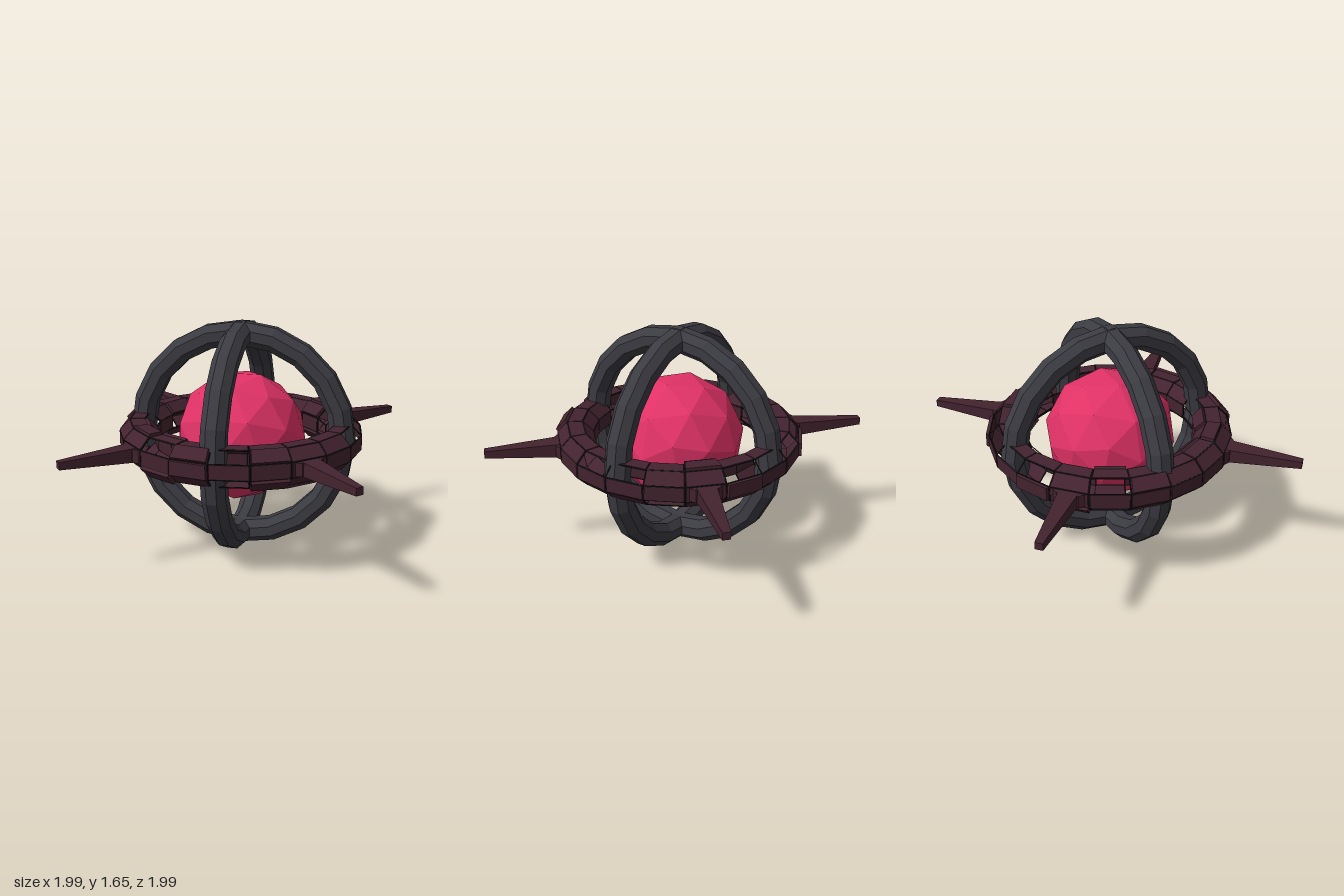
import * as THREE from 'three';
import { mergeGeometries } from 'three/addons/utils/BufferGeometryUtils.js';

const CY = 0.833, R = 0.742, SEG = 20;
const V = (x, y, z) => new THREE.Vector3(x, y, z);

function material(name, color) {
  const m = new THREE.MeshStandardMaterial({ color, flatShading: true });
  m.name = name;
  return m;
}

// Octagonal hoop lying flat, flat side outwards
function hoop(radius, apothem) {
  const r = apothem / Math.cos(Math.PI / 8), pts = [];
  for (let i = 0; i <= 8; i++) {
    const b = (i - 0.5) * Math.PI / 4;
    pts.push(new THREE.Vector2(radius + r * Math.cos(b), r * Math.sin(b)));
  }
  return new THREE.LatheGeometry(pts, SEG).toNonIndexed();
}

// Six-sided solid between two quads, both wound as seen from the b side
function prism(a, b) {
  const pos = [];
  const quad = (p, q, r, s) => [p, q, r, p, r, s].forEach(v => pos.push(v.x, v.y, v.z));
  quad(...b);
  quad(a[3], a[2], a[1], a[0]);
  for (let i = 0; i < 4; i++) {
    const n = (i + 1) % 4;
    quad(a[i], a[n], b[n], b[i]);
  }
  const g = new THREE.BufferGeometry();
  g.setAttribute('position', new THREE.Float32BufferAttribute(pos, 3));
  g.computeVertexNormals();
  return g;
}

// Corner of the cage: k around the hoop, j around its cross-section
function corner(k, j) {
  const a = k * 2 * Math.PI / SEG, b = (j - 0.5) * Math.PI / 4;
  const r = 0.125 / Math.cos(Math.PI / 8), d = R + r * Math.cos(b);
  return V(d * Math.cos(a), r * Math.sin(b), -d * Math.sin(a));
}

// Armour plate on one cage face
function plate(k, j, thick) {
  const q = [corner(k, j), corner(k + 1, j), corner(k + 1, j + 1), corner(k, j + 1)];
  const c = V(0, 0, 0);
  q.forEach(p => c.addScaledVector(p, 0.25));
  const n = q[1].clone().sub(q[0]).cross(q[3].clone().sub(q[0])).normalize();
  const at = (h, s) => q.map(p => c.clone().lerp(p, s).addScaledVector(n, h));
  return prism(at(-0.003, 0.97), at(thick, 0.95));
}

// Thin strut between two corners
function strut(p, q) {
  const g = new THREE.CylinderGeometry(0.005, 0.005, p.distanceTo(q), 4);
  g.applyQuaternion(new THREE.Quaternion().setFromUnitVectors(V(0, 1, 0), q.clone().sub(p).normalize()));
  const m = p.clone().add(q).multiplyScalar(0.5);
  return g.translate(m.x, m.y, m.z);
}

// Core: icosphere with its five-fold axis along z
function core(radius) {
  const g = new THREE.IcosahedronGeometry(radius, 1);
  const t = (1 + Math.sqrt(5)) / 2;
  g.rotateX(-Math.atan2(1, t));   // brings the upper front vertex onto z
  return g.rotateZ(Math.PI);
}

export function createModel() {
  const group = new THREE.Group();
  const grey = material('charcoal', 0x3b3b42);
  const maroon = material('dark maroon', 0x43232f);
  const black = material('black', 0x121412);
  const pink = material('crimson', 0xe03266);
  const add = (name, geo, mat) => {
    const m = new THREE.Mesh(geo, mat);
    m.name = name;
    m.position.y = CY;
    group.add(m);
    return m;
  };

  add('core', core(0.47), pink);

  // Two upright hoops
  add('frontHoop', hoop(R, 0.085).rotateX(Math.PI / 2), grey);
  add('sideHoop', hoop(R, 0.085).rotateZ(Math.PI / 2), grey);

  // Wire cage of the level hoop
  const wires = [];
  for (let k = 0; k < SEG; k++) {
    for (let j = 0; j < 8; j++) {
      wires.push(strut(corner(k, j), corner(k + 1, j)), strut(corner(k, j), corner(k, j + 1)));
    }
  }
  add('wireCage', mergeGeometries(wires), black);

  // Missing plates per face row, counted around the cage
  const missing = [
    [], [0, 3, 4, 5, 6, 8, 13, 15, 19], [], [0, 1, 4, 5, 10, 14, 19],
    [1, 5, 8, 14, 18], [0, 3, 6, 9, 10, 15, 19], [], [1, 4, 5, 8, 10, 15, 19],
  ];
  // Thicker plates per face row
  const raised = [
    [3, 6, 14], [9, 14, 16], [2, 12], [2, 8, 11, 13], [], [2, 7, 13, 17], [17], [7, 13, 16],
  ];
  const plates = [];
  for (let j = 0; j < 8; j++) {
    for (let k = 0; k < SEG; k++) {
      if (missing[j].includes(k)) continue;
      plates.push(plate(k, j, raised[j].includes(k) ? 0.025 : 0.006));
    }
  }
  add('armourPlates', mergeGeometries(plates), maroon);

  // Four diagonal spikes on flared roots
  const section = (x, h, w) => [V(x, -h, w), V(x, -h, -w), V(x, h, -w), V(x, h, w)];
  const spike = mergeGeometries([
    prism(section(0.845, 0.05, 0.13), section(0.89, 0.045, 0.075)),
    prism(section(0.86, 0.05, 0.068), section(1.382, 0.026, 0.027)),
  ]);
  for (let i = 0; i < 4; i++) {
    add('spike', spike, maroon).rotation.y = Math.PI / 4 + i * Math.PI / 2;
  }
  return group;
}
